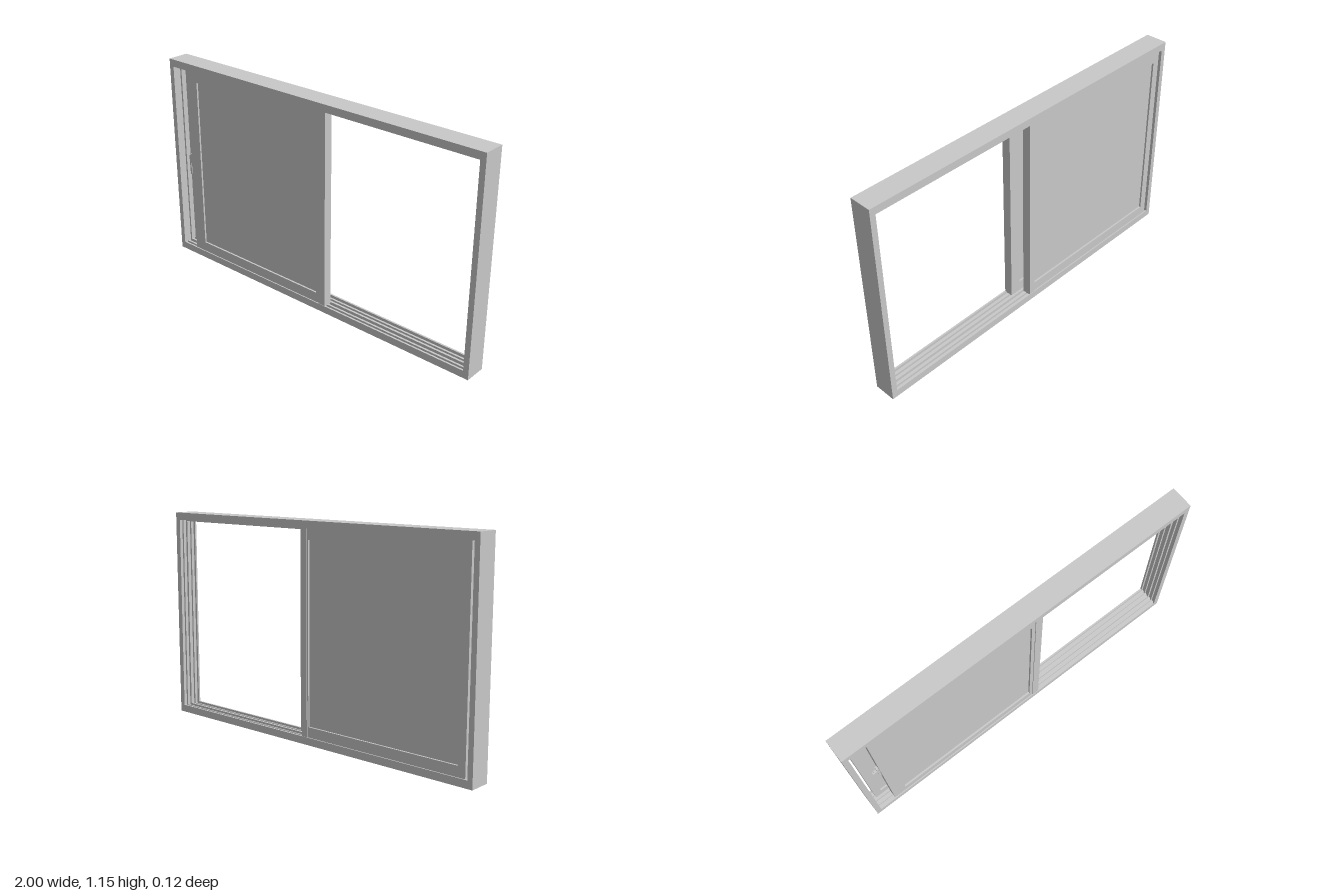
import * as THREE from 'three';

const grey = new THREE.MeshStandardMaterial({ color: 0xc8c8c8 });
grey.name = 'window grey';

// Box from its minimum and maximum corners
function box(parent, name, x0, x1, y0, y1, z0, z1) {
  const mesh = new THREE.Mesh(new THREE.BoxGeometry(x1 - x0, y1 - y0, z1 - z0), grey);
  mesh.position.set((x0 + x1) / 2, (y0 + y1) / 2, (z0 + z1) / 2);
  mesh.name = name;
  parent.add(mesh);
  return mesh;
}

// Rectangular ring extruded along z; outer and inner are [x0, x1, y0, y1]
function ring(parent, name, outer, inner, z0, z1) {
  const trace = (path, [x0, x1, y0, y1]) => {
    path.moveTo(x0, y0);
    path.lineTo(x1, y0);
    path.lineTo(x1, y1);
    path.lineTo(x0, y1);
    path.closePath();
    return path;
  };
  const shape = trace(new THREE.Shape(), outer);
  shape.holes.push(trace(new THREE.Path(), inner));
  const geometry = new THREE.ExtrudeGeometry(shape, { depth: z1 - z0, bevelEnabled: false });
  geometry.translate(0, 0, z0);
  const mesh = new THREE.Mesh(geometry, grey);
  mesh.name = name;
  parent.add(mesh);
}

// Sash: ring of stiles and rails around a recessed pane
function sash(name, outer, inner, z0, z1) {
  const group = new THREE.Group();
  group.name = name;
  ring(group, 'sashFrame', outer, inner, z0, z1);
  const [x0, x1, y0, y1] = inner;
  box(group, 'pane', x0 - 0.005, x1 + 0.005, y0 - 0.005, y1 + 0.005, z0 + 0.01, z1 - 0.01);
  return group;
}

export function createModel() {
  const model = new THREE.Group();
  model.name = 'slidingWindow';

  // Outer frame: alternating lips and grooves through its depth
  const frame = new THREE.Group();
  frame.name = 'outerFrame';
  model.add(frame);
  const outer = [-1, 1, 0, 1.15];
  const lip = [-0.972, 0.97, 0.04, 1.11];
  const groove = [-0.982, 0.982, 0.024, 1.126];
  const steps = [-0.06, -0.05, -0.006, 0.006, 0.05, 0.06];
  for (let i = 0; i < steps.length - 1; i++) {
    ring(frame, i % 2 ? 'trackGroove' : 'trackLip', outer, i % 2 ? groove : lip, steps[i], steps[i + 1]);
  }
  // Guide ribs along the sill, head and far jamb
  for (const z of [-0.028, 0.028]) {
    box(frame, 'sillRib', -0.98, 0.98, 0.02, 0.036, z - 0.004, z + 0.004);
    box(frame, 'jambRib', 0.972, 0.985, 0.02, 1.13, z - 0.004, z + 0.004);
  }
  box(frame, 'headStop', -0.975, 0.975, 1.1, 1.12, -0.006, 0.006);

  // Two sashes, both slid towards one side
  const front = sash('frontSash', [-0.875, 0.11, 0.035, 1.115], [-0.8, 0.05, 0.095, 1.055], 0.01, 0.054);
  const back = sash('backSash', [-0.957, 0.04, 0.035, 1.115], [-0.916, -0.002, 0.095, 1.055], -0.054, -0.01);
  model.add(front, back);

  // Meeting stile covers
  box(front, 'interlock', 0.07, 0.11, 0.04, 1.11, 0.05, 0.058);
  box(back, 'interlock', 0.005, 0.04, 0.04, 1.11, -0.058, -0.05);

  // Latch on the edge of the front sash
  const latch = new THREE.Group();
  latch.name = 'latch';
  box(latch, 'latchPlate', -0.887, -0.873, 0.535, 0.65, 0.022, 0.042);
  box(latch, 'latchPivot', -0.902, -0.885, 0.56, 0.615, 0.025, 0.039);
  const lever = box(latch, 'latchLever', -0.909, -0.898, 0.49, 0.605, 0.025, 0.039);
  lever.rotation.z = 0.03;
  front.add(latch);

  return model;
}
